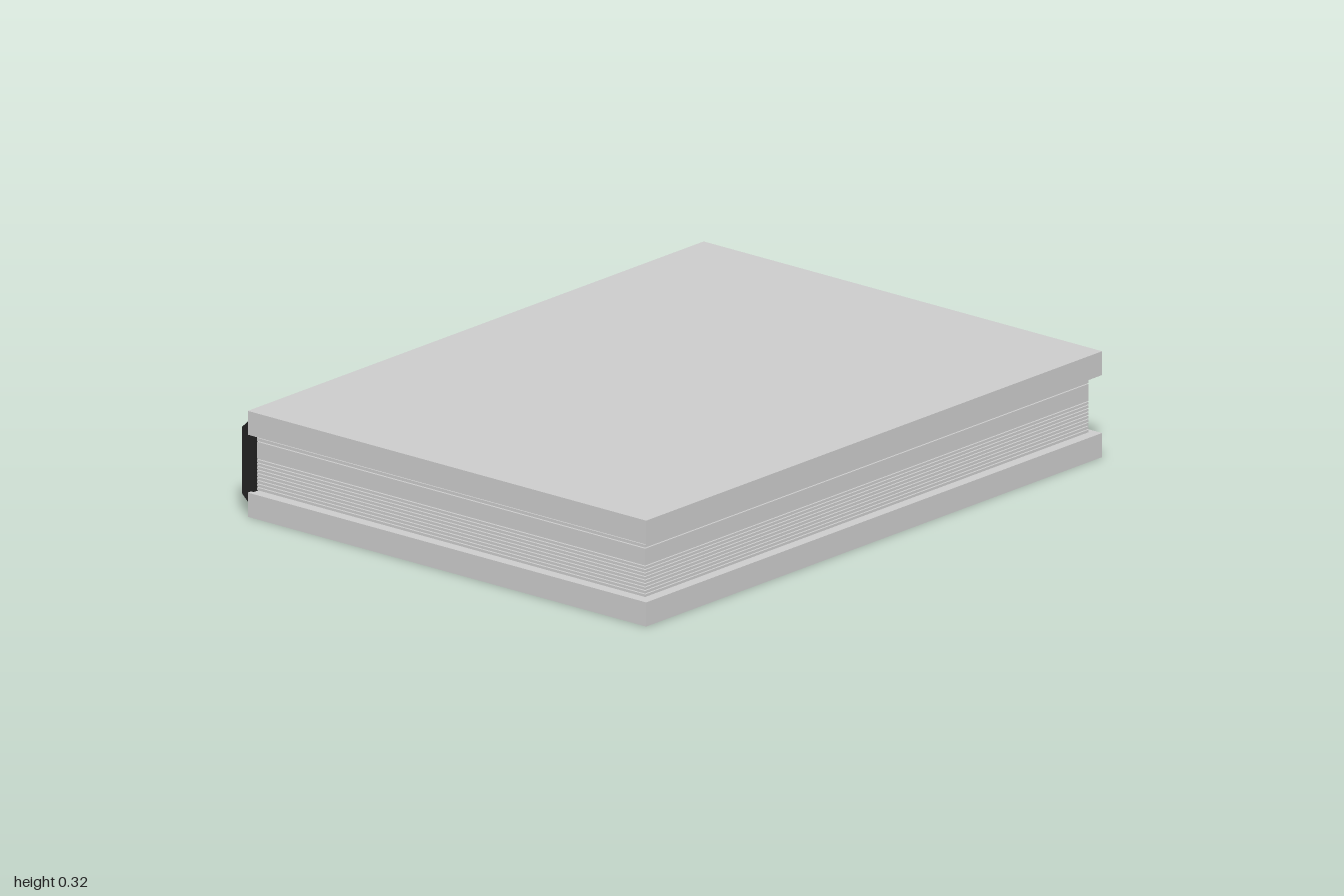
import * as THREE from 'three';

export function createModel() {
  const book = new THREE.Group();
  book.name = 'book';
  const grey = new THREE.MeshStandardMaterial({ color: 0xcccccc, flatShading: true });
  const dark = new THREE.MeshStandardMaterial({ color: 0x222222, flatShading: true });

  // Box given by its x and y limits and its half depth
  function slab(name, x0, x1, y0, y1, halfZ, parent = book) {
    const mesh = new THREE.Mesh(new THREE.BoxGeometry(x1 - x0, y1 - y0, halfZ * 2), grey);
    mesh.position.set((x0 + x1) / 2, (y0 + y1) / 2, 0);
    mesh.name = name;
    parent.add(mesh);
  }

  // Hard covers
  slab('bottomCover', -0.735, 0.77, 0, 0.073, 1);
  slab('topCover', -0.735, 0.77, 0.248, 0.32, 1);

  // Page block: thick bundle in the middle, thin sheets above and below
  const pages = new THREE.Group();
  pages.name = 'pages';
  book.add(pages);
  slab('pageCore', -0.73, 0.732, 0.07, 0.25, 0.962, pages);
  slab('pageBundle', -0.73, 0.742, 0.171, 0.222, 0.972, pages);
  function sheets(y0, y1, count) {
    const pitch = (y1 - y0) / count;
    for (let i = 0; i < count; i++) {
      const y = y0 + i * pitch;
      slab('sheet', -0.73, 0.742, y, y + pitch * 0.72, 0.972, pages);
    }
  }
  sheets(0.076, 0.171, 9);
  sheets(0.225, 0.249, 2);

  // Spine with bevelled top and bottom edges
  const profile = new THREE.Shape([
    new THREE.Vector2(-0.725, 0.017),
    new THREE.Vector2(-0.725, 0.303),
    new THREE.Vector2(-0.77, 0.26),
    new THREE.Vector2(-0.77, 0.06),
  ]);
  const spineGeometry = new THREE.ExtrudeGeometry(profile, { depth: 1.97, bevelEnabled: false });
  spineGeometry.translate(0, 0, -0.985);
  const spine = new THREE.Mesh(spineGeometry, dark);
  spine.name = 'spine';
  book.add(spine);

  return book;
}
